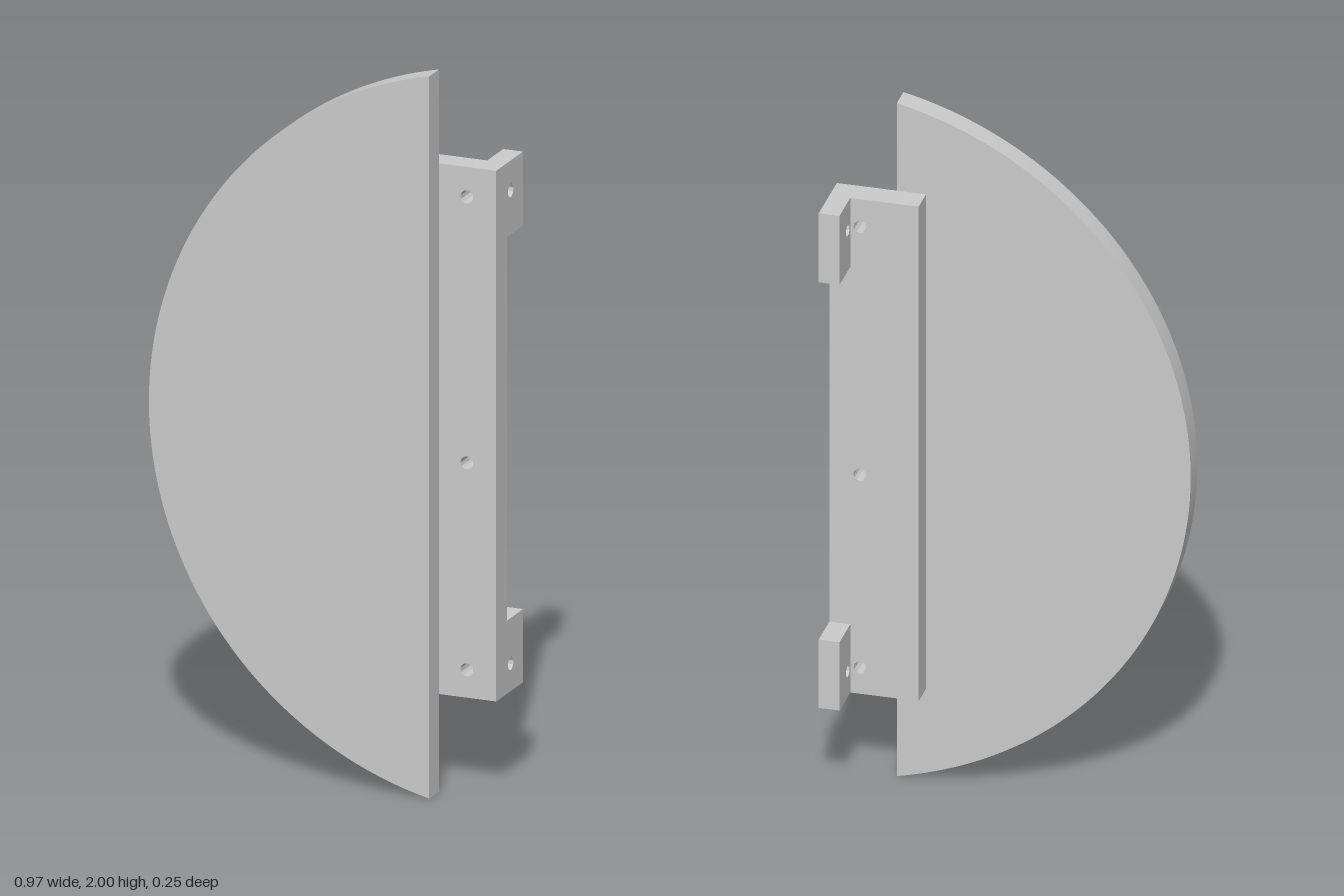
import * as THREE from 'three';
import { toCreasedNormals } from 'three/addons/utils/BufferGeometryUtils.js';

const HOLE_R = 0.018;
const BOTTOM = 0.27, TOP = 1.74;
const BACK = -0.123, BASE_BACK = -0.016, SEAM = 0.057, FRONT = 0.123;
const RIGHT = 0.484, WALL_X = 0.427;

// Polygon with round holes, extruded from 0 to depth along z
function extrude(shape, depth, holes = []) {
  for (const [x, y] of holes) {
    const hole = new THREE.Path();
    hole.absarc(x, y, HOLE_R, 0, Math.PI * 2, true);
    shape.holes.push(hole);
  }
  const geo = new THREE.ExtrudeGeometry(shape, { depth, bevelEnabled: false, curveSegments: 64 });
  return toCreasedNormals(geo, Math.PI / 6);
}

const polygon = (points) => new THREE.Shape(points.map(([x, y]) => new THREE.Vector2(x, y)));

export function createModel() {
  const group = new THREE.Group();
  const material = new THREE.MeshStandardMaterial({ color: 0xcccccc });
  const add = (name, geometry) => {
    const mesh = new THREE.Mesh(geometry, material);
    mesh.name = name;
    group.add(mesh);
  };

  // Circular-segment plate: the chord is the straight right edge
  const chordX = 0.32, sagitta = chordX + RIGHT;
  const radius = (1 + sagitta * sagitta) / (2 * sagitta);
  const centreX = radius - RIGHT;
  const angle = Math.atan2(1, chordX - centreX);
  const segment = new THREE.Shape();
  segment.absarc(centreX, 1, radius, angle, Math.PI * 2 - angle, false);
  segment.closePath();
  add('segmentPlate', extrude(segment, FRONT - SEAM).translate(0, 0, SEAM));

  // Flat mounting strip behind the plate, with three screw holes
  const strip = polygon([[0.24, BOTTOM], [WALL_X, BOTTOM], [WALL_X, TOP], [0.24, TOP]]);
  const stripHoles = [0.347, 0.92, 1.657].map((y) => [0.4, y]);
  add('mountingStrip', extrude(strip, SEAM - BASE_BACK, stripHoles).translate(0, 0, BASE_BACK));

  // Side wall drawn in (z, y): a long edge with a drilled tab at each end
  const wall = polygon([
    [SEAM, BOTTOM], [SEAM, TOP], [BACK, TOP], [BACK, 1.535],
    [BASE_BACK, 1.535], [BASE_BACK, 0.473], [BACK, 0.473], [BACK, BOTTOM],
  ]);
  const wallHoles = [[-0.04, 0.347], [-0.04, 1.657]];
  add('sideWallWithTabs', extrude(wall, RIGHT - WALL_X, wallHoles)
    .rotateY(-Math.PI / 2).translate(RIGHT, 0, 0));

  return group;
}
